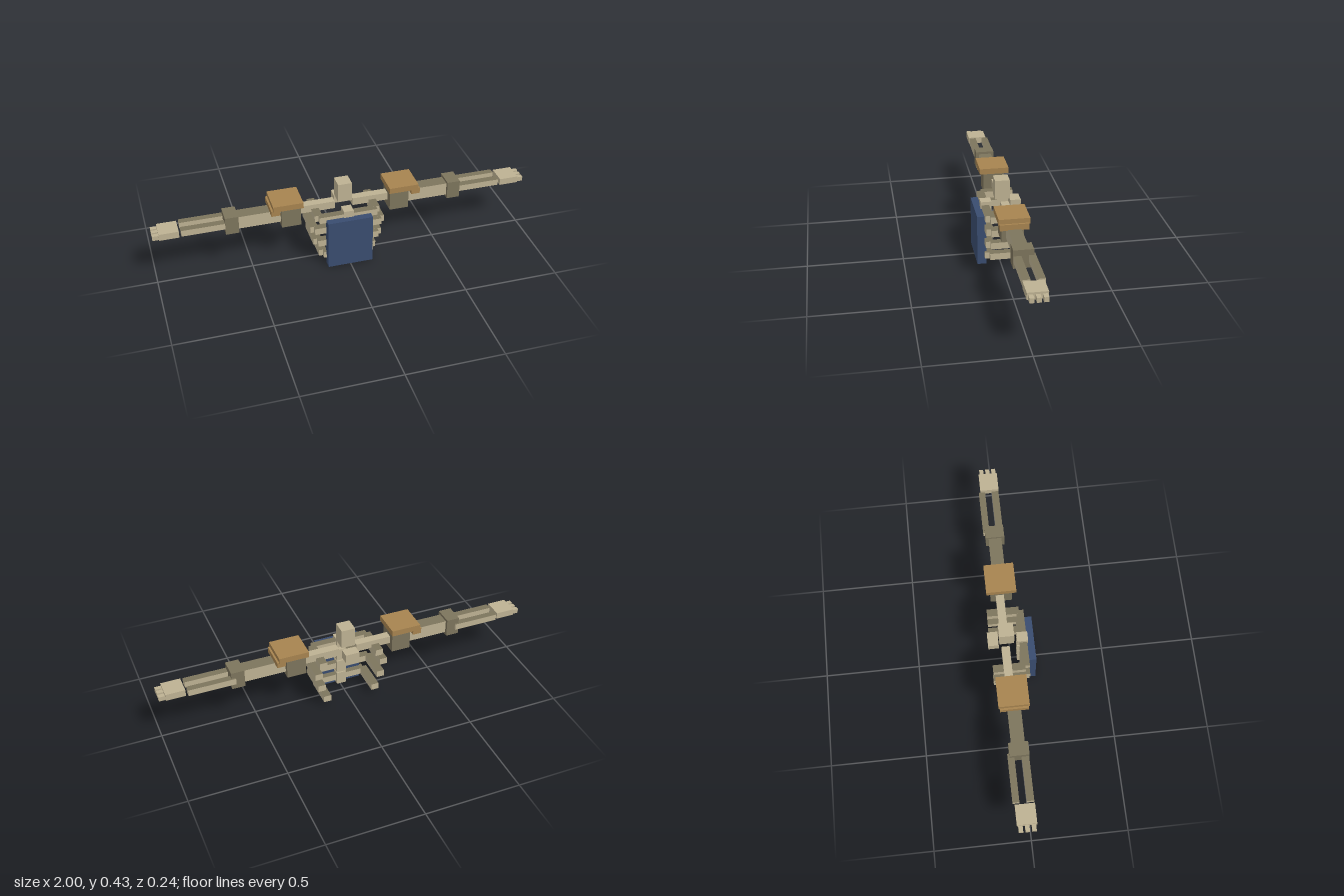
import * as THREE from 'three';

const mat = (name, color) => {
  const m = new THREE.MeshStandardMaterial({ color });
  m.name = name;
  return m;
};

export function createModel() {
  const root = new THREE.Group();
  root.name = 'skeletonTorso';

  const bone = mat('bone', 0xbdb192);
  const darkBone = mat('darkBone', 0x7c745c);
  const leather = mat('leather', 0xa6834f);
  const blue = mat('blueCloth', 0x394c6f);
  // long bones are pale on the sides, dark on top and underneath
  const longBone = [bone, bone, darkBone, darkBone, bone, bone];

  // box given by its limits on each axis
  function box(parent, name, material, [x0, x1], [y0, y1], [z0, z1]) {
    const mesh = new THREE.Mesh(new THREE.BoxGeometry(x1 - x0, y1 - y0, z1 - z0), material);
    mesh.position.set((x0 + x1) / 2, (y0 + y1) / 2, (z0 + z1) / 2);
    mesh.name = name;
    parent.add(mesh);
  }
  // same box on both sides of x = 0
  function pair(parent, name, material, [x0, x1], y, z) {
    box(parent, name + 'Left', material, [x0, x1], y, z);
    box(parent, name + 'Right', material, [-x1, -x0], y, z);
  }

  // chest plate
  box(root, 'chestPlate', blue, [-0.12, 0.12], [0, 0.273], [0.075, 0.122]);

  // neck, vertebra behind it and breastbone pieces
  box(root, 'neck', bone, [-0.037, 0.037], [0.325, 0.43], [-0.062, 0.015]);
  box(root, 'vertebra', bone, [-0.038, 0.038], [0.27, 0.317], [-0.12, -0.065]);
  const sternum = new THREE.Group();
  sternum.name = 'breastbone';
  root.add(sternum);
  box(sternum, 'breastboneTop', bone, [-0.026, 0.026], [0.26, 0.31], [0.032, 0.089]);
  for (const [y0, y1] of [[0.175, 0.243], [0.096, 0.168], [0.018, 0.09]]) {
    box(sternum, 'breastbonePiece', bone, [-0.026, 0.026], [y0, y1], [0.032, 0.075]);
  }

  // ribs: a front bar and two bars running back
  const ribs = new THREE.Group();
  ribs.name = 'ribs';
  root.add(ribs);
  for (const [y, half] of [[0.274, 0.175], [0.21, 0.2], [0.132, 0.185], [0.054, 0.155]]) {
    const h = [y - 0.018, y + 0.018];
    box(ribs, 'ribFront', longBone, [-half + 0.02, half - 0.02], h, [0.045, 0.084]);
    pair(ribs, 'ribSide', longBone, [half - 0.04, half], h.map((v) => v + 0.0005), [-0.107, 0.06]);
  }

  // arms
  const arms = new THREE.Group();
  arms.name = 'arms';
  root.add(arms);
  pair(arms, 'collarbone', bone, [0.048, 0.25], [0.275, 0.317], [-0.053, -0.01]);
  pair(arms, 'shoulder', darkBone, [0.24, 0.342], [0.237, 0.352], [-0.08, 0.033]);
  pair(arms, 'upperArm', longBone, [0.33, 0.57], [0.26, 0.33], [-0.057, 0.011]);
  pair(arms, 'elbow', darkBone, [0.563, 0.632], [0.246, 0.343], [-0.073, 0.027]);
  for (const z of [[-0.082, -0.048], [-0.012, 0.025]]) {
    pair(arms, 'forearmBone', longBone, [0.61, 0.855], [0.278, 0.312], z);
  }
  pair(arms, 'hand', bone, [0.866, 0.967], [0.276, 0.312], [-0.073, 0.027]);
  for (const z of [0.01, -0.023, -0.056]) {
    pair(arms, 'finger', bone, [0.96, 1], [0.277, 0.302], [z - 0.011, z + 0.011]);
  }

  // shoulder pads
  const pads = new THREE.Group();
  pads.name = 'shoulderPads';
  root.add(pads);
  pair(pads, 'padTop', leather, [0.23, 0.388], [0.352, 0.383], [-0.102, 0.055]);
  pair(pads, 'padEdge', leather, [0.352, 0.398], [0.326, 0.358], [-0.096, 0.05]);

  return root;
}
